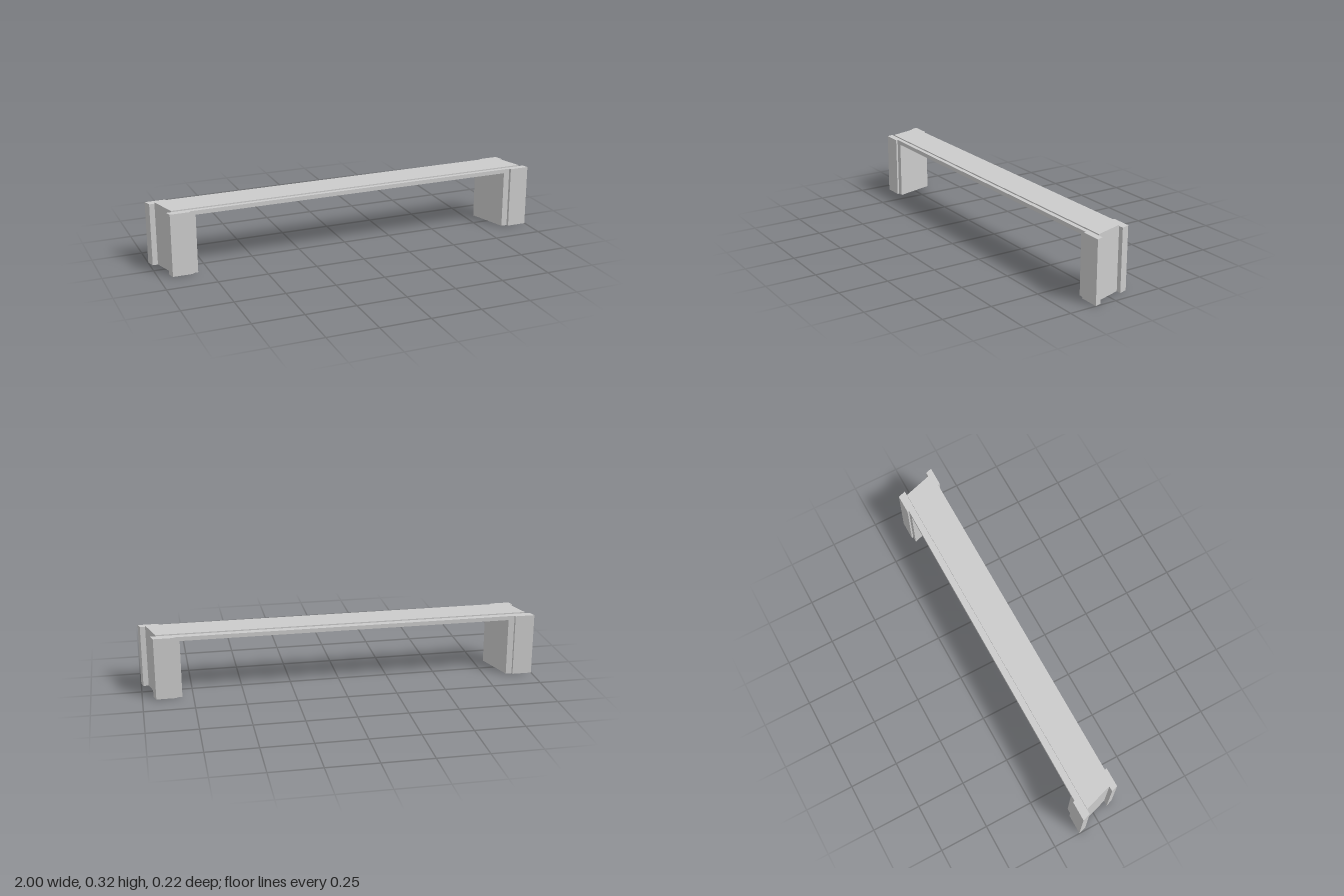
import * as THREE from 'three';

const SKEW = 0.3;       // sideways slant of the frame along its depth
const LINTEL_Y = 0.295; // underside of the lintel
const INNER = 0.835;    // half width of the opening

const material = new THREE.MeshStandardMaterial({ color: 0xcccccc, flatShading: true });

// Extrude a front outline from z0 to z1, then slant it sideways
function slanted(name, points, z0, z1) {
  const shape = new THREE.Shape(points.map(([x, y]) => new THREE.Vector2(x, y)));
  const geometry = new THREE.ExtrudeGeometry(shape, { depth: z1 - z0, bevelEnabled: false });
  geometry.translate(0, 0, z0);
  const p = geometry.attributes.position;
  for (let i = 0; i < p.count; i++) p.setX(i, p.getX(i) + SKEW * p.getZ(i));
  geometry.computeVertexNormals();
  const mesh = new THREE.Mesh(geometry, material);
  mesh.name = name;
  return mesh;
}

// Upside-down U: two legs joined by the lintel
const portal = (outer, height) => [
  [-outer, 0], [-INNER, 0], [-INNER, LINTEL_Y], [INNER, LINTEL_Y],
  [INNER, 0], [outer, 0], [outer, height], [-outer, height],
];

const rect = (x0, x1, height) => [[x0, 0], [x1, 0], [x1, height], [x0, height]];

export function createModel() {
  const group = new THREE.Group();
  group.name = 'slantedDoorFrame';

  // Taller middle of the frame
  group.add(slanted('frameCore', portal(0.94, 0.322), -0.07, 0.078));

  // Lower strips along the front and back faces
  group.add(slanted('frontStrip', portal(0.866, 0.316), 0.078, 0.1));
  group.add(slanted('backStrip', portal(0.866, 0.316), -0.102, -0.07));

  // Corner trims that stand proud of the legs
  for (const [side, x0, x1] of [['left', 0.866, 0.966], ['right', -0.966, -0.866]]) {
    group.add(slanted(side + 'FrontTrim', rect(x0, x1, 0.316), 0.078, 0.111));
    group.add(slanted(side + 'BackTrim', rect(x0, x1, 0.316), -0.111, -0.07));
  }
  return group;
}
